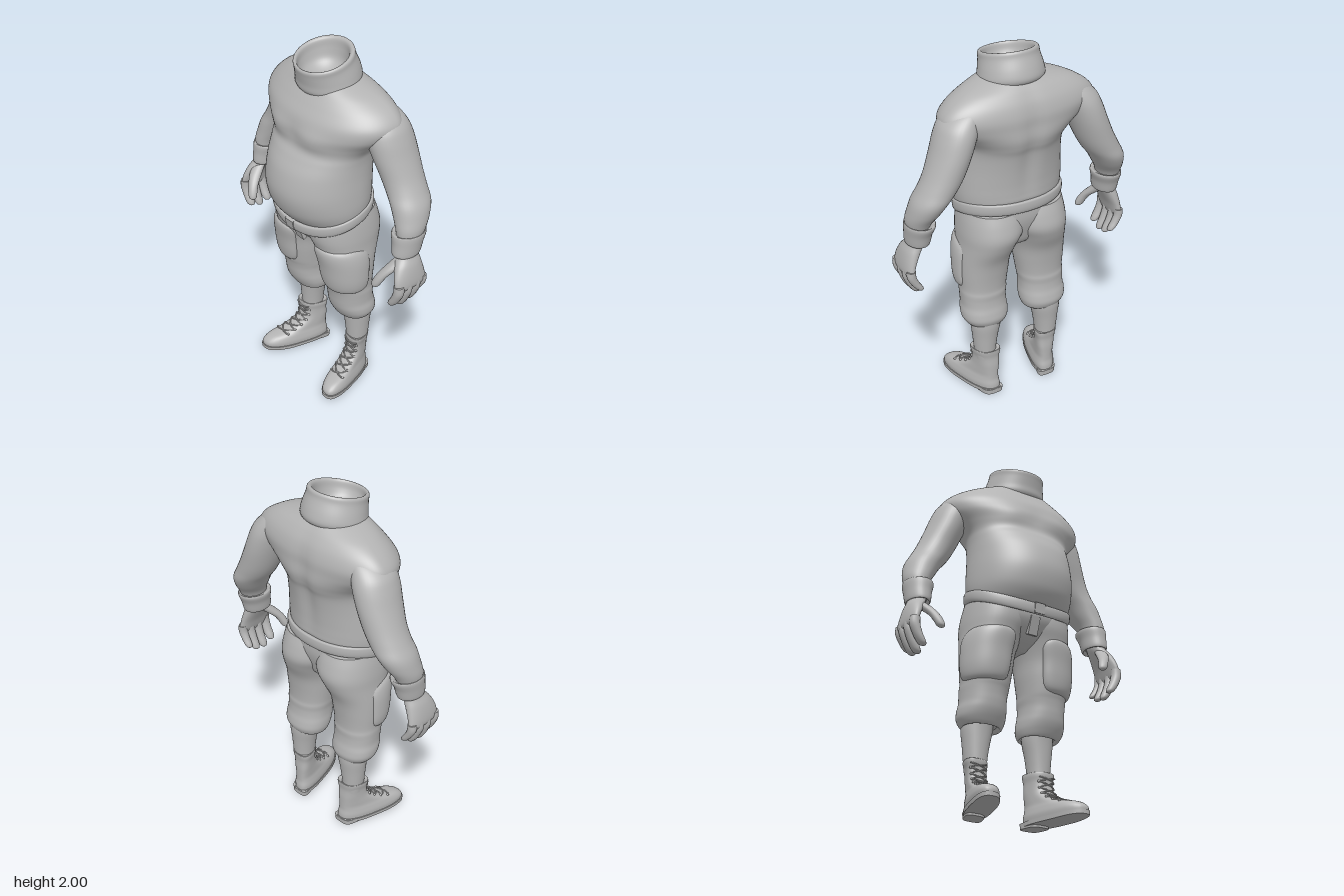
import * as THREE from 'three';

const TAU = Math.PI * 2;

// Smooth surface through stacked sections [x, y, z, halfWidth, front, back, tilt].
// u is the angle (0 = +x, quarter turn = front), v runs from first to last section.
function surface(sections, power = 2, warp) {
  const n = sections.length - 1;
  const row = i => sections[Math.min(n, Math.max(0, i))];
  return (u, v, off = 0) => {
    const i = Math.min(n - 1, Math.floor(v * n)), t = v * n - i;
    const s = [0, 1, 2, 3, 4, 5, 6].map(k => {
      const [a, b, c, d] = [-1, 0, 1, 2].map(j => row(i + j)[k] ?? 0);
      return b + 0.5 * t * (c - a + t * (2 * a - 5 * b + 4 * c - d + t * (3 * (b - c) + d - a)));
    });
    const curve = w => Math.sign(w) * Math.abs(w) ** (2 / power);
    const depth = (Math.sin(u) > 0 ? s[4] : s[5]) + off;
    const dz = curve(Math.sin(u)) * depth;
    const p = new THREE.Vector3(s[0] + curve(Math.cos(u)) * (s[3] + off), s[1] - s[6] * dz, s[2] + dz);
    if (warp) warp(p);
    return p;
  };
}

// Grid over a point function; closed grids join up around u, caps close the ends.
function grid(f, nu, nv, closed = true, caps = true) {
  const pos = [], idx = [], cols = closed ? nu : nu + 1;
  for (let j = 0; j <= nv; j++)
    for (let i = 0; i < cols; i++) pos.push(...f(i / nu, j / nv).toArray());
  for (let j = 0; j < nv; j++)
    for (let i = 0; i < nu; i++) {
      const a = j * cols + i, b = j * cols + (i + 1) % cols, c = a + cols, d = b + cols;
      idx.push(a, c, b, b, c, d);
    }
  if (closed && caps) for (const v of [0, 1]) {
    const start = pos.length / 3, mid = new THREE.Vector3();
    for (let i = 0; i < nu; i++) {
      const p = f(i / nu, v);
      pos.push(...p.toArray());
      mid.addScaledVector(p, 1 / nu);
    }
    pos.push(...mid.toArray());
    for (let i = 0; i < nu; i++) {
      const a = start + i, b = start + (i + 1) % nu;
      idx.push(...(v ? [a, start + nu, b] : [a, b, start + nu]));
    }
  }
  const g = new THREE.BufferGeometry();
  g.setAttribute('position', new THREE.Float32BufferAttribute(pos, 3));
  g.setIndex(idx);
  g.computeVertexNormals();
  return g;
}

const loft = (surf, nu = 40, nv = 40, caps = true) => grid((u, v) => surf(u * TAU, v), nu, nv, true, caps);

function mirrored(geo) {
  const g = geo.clone().scale(-1, 1, 1), ix = g.index;
  for (let i = 0; i < ix.count; i += 3) {
    const a = ix.getX(i);
    ix.setX(i, ix.getX(i + 1));
    ix.setX(i + 1, a);
  }
  return g;
}

export function createModel() {
  const model = new THREE.Group();
  const clay = new THREE.MeshStandardMaterial({ color: 0xb4b4b4 });
  clay.name = 'clay grey';
  const add = (name, geo) => {
    const m = new THREE.Mesh(geo, clay);
    m.name = name;
    model.add(m);
  };
  const pair = (name, geo) => {
    add(name + 'Left', geo);
    add(name + 'Right', mirrored(geo));
  };

  // Sweater body including the shoulders, with chest bulges and a spine groove
  const chest = p => {
    if (p.z > 0) p.z += 0.02 * Math.exp(-(((Math.abs(p.x) - 0.13) / 0.1) ** 2) - ((p.y - 1.6) / 0.06) ** 2);
    else p.z += 0.02 * Math.exp(-((p.x / 0.05) ** 2) - ((p.y - 1.5) / 0.25) ** 2);
  };
  add('sweaterBody', loft(surface([
    [0, 1.13, 0, 0.27, 0.19, 0.205, 0.25], [0, 1.165, 0, 0.285, 0.225, 0.22, 0.22],
    [0, 1.22, 0, 0.292, 0.265, 0.222, 0.14], [0, 1.3, 0, 0.291, 0.285, 0.225, 0.05],
    [0, 1.4, 0, 0.286, 0.265, 0.235], [0, 1.48, 0, 0.286, 0.225, 0.25],
    [0, 1.53, -0.01, 0.296, 0.203, 0.258], [0, 1.58, -0.04, 0.335, 0.225, 0.238],
    [0, 1.64, -0.085, 0.4, 0.268, 0.19], [0, 1.7, -0.115, 0.422, 0.285, 0.157],
    [0, 1.76, -0.12, 0.38, 0.255, 0.135], [0, 1.81, -0.11, 0.3, 0.213, 0.115],
    [0, 1.845, -0.075, 0.2, 0.16, 0.12], [0, 1.86, -0.05, 0.15, 0.13, 0.13],
  ], 2.05, chest), 80, 78, false));

  // Rolled, hollow collar
  add('collar', loft(surface([
    [0, 1.835, -0.045, 0.13, 0.12, 0.12, 0.16], [0, 1.816, -0.042, 0.156, 0.142, 0.15, 0.16],
    [0, 1.838, -0.04, 0.171, 0.157, 0.166, 0.17], [0, 1.88, -0.035, 0.165, 0.157, 0.16, 0.2],
    [0, 1.93, -0.02, 0.153, 0.152, 0.152, 0.24], [0, 1.957, -0.012, 0.15, 0.15, 0.153, 0.24],
    [0, 1.966, -0.01, 0.14, 0.141, 0.144, 0.24], [0, 1.955, -0.008, 0.126, 0.13, 0.132, 0.24],
    [0, 1.915, -0.01, 0.118, 0.123, 0.125, 0.2], [0, 1.87, -0.015, 0.1, 0.105, 0.107, 0.1],
    [0, 1.84, -0.015, 0.06, 0.06, 0.06], [0, 1.83, -0.015, 0.01, 0.01, 0.01],
  ]), 48, 55));

  // Sleeves, tucked up into the shoulders
  pair('sleeve', loft(surface([
    [0.562, 1.13, -0.085, 0.05, 0.065, 0.065], [0.557, 1.2, -0.1, 0.067, 0.083, 0.083],
    [0.535, 1.26, -0.122, 0.082, 0.1, 0.1], [0.508, 1.32, -0.138, 0.093, 0.112, 0.11],
    [0.468, 1.38, -0.145, 0.1, 0.113, 0.108], [0.43, 1.45, -0.145, 0.102, 0.118, 0.112],
    [0.388, 1.55, -0.135, 0.103, 0.128, 0.125], [0.355, 1.64, -0.125, 0.104, 0.13, 0.128],
    [0.33, 1.7, -0.12, 0.098, 0.115, 0.115], [0.29, 1.75, -0.12, 0.075, 0.085, 0.085],
    [0.25, 1.77, -0.12, 0.04, 0.05, 0.05],
  ]), 36, 44));

  // Turned-back sleeve cuffs
  pair('cuff', loft(surface([
    [0.56, 1.08, -0.076, 0.045, 0.06, 0.06], [0.558, 1.063, -0.075, 0.056, 0.075, 0.075],
    [0.557, 1.075, -0.076, 0.063, 0.083, 0.083], [0.555, 1.125, -0.085, 0.069, 0.088, 0.088],
    [0.55, 1.168, -0.095, 0.077, 0.097, 0.097], [0.55, 1.185, -0.097, 0.073, 0.093, 0.093],
    [0.553, 1.175, -0.097, 0.056, 0.075, 0.075],
  ]), 36, 30));

  // Hands: palm, four curled fingers and a thumb
  pair('palm', loft(surface([
    [0.618, 0.885, -0.052, 0.014, 0.08, 0.08], [0.622, 0.91, -0.052, 0.027, 0.1, 0.098],
    [0.612, 0.96, -0.05, 0.034, 0.097, 0.096], [0.59, 1.02, -0.058, 0.042, 0.08, 0.08],
    [0.567, 1.07, -0.072, 0.043, 0.058, 0.058], [0.56, 1.12, -0.078, 0.043, 0.056, 0.056],
  ], 2.2), 28, 24));
  [[0.028, 0.785], [-0.028, 0.762], [-0.083, 0.772], [-0.131, 0.805]].forEach(([z, tip], i) => {
    const h = 0.93 - tip, r = i === 3 ? 0.023 : 0.027;
    const s = [[0.572, 0, 0.25], [0.576, 0.06, 0.75], [0.588, 0.2, 0.95], [0.606, 0.42, 1], [0.622, 0.72, 1.05], [0.622, 1, 1]]
      .map(([x, k, q]) => [x, tip + h * k, z, r * q, r * q, r * q]);
    pair('finger' + (i + 1), loft(surface(s), 14, 18));
  });
  pair('thumb', loft(surface([
    [0.498, 0.885, 0.076, 0.009, 0.008, 0.008], [0.5, 0.895, 0.074, 0.022, 0.02, 0.02],
    [0.508, 0.92, 0.067, 0.027, 0.024, 0.024], [0.525, 0.96, 0.048, 0.029, 0.026, 0.028],
    [0.55, 1.005, 0.008, 0.033, 0.033, 0.036], [0.568, 1.05, -0.04, 0.03, 0.03, 0.03],
  ]), 16, 20));

  // Trouser seat, waistband dipping under the belly, buckle and fly
  add('trouserSeat', loft(surface([
    [0, 0.885, -0.03, 0.06, 0.07, 0.07], [0, 0.93, -0.02, 0.15, 0.125, 0.14],
    [0, 1.0, 0, 0.25, 0.16, 0.19], [0, 1.07, 0, 0.28, 0.18, 0.215, 0.12],
    [0, 1.15, 0, 0.278, 0.18, 0.213, 0.25],
  ], 2.1), 48, 24));
  add('waistband', loft(surface([
    [0, 1.125, 0, 0.265, 0.185, 0.2], [0, 1.113, 0, 0.285, 0.203, 0.222],
    [0, 1.13, 0, 0.295, 0.213, 0.232], [0, 1.16, 0, 0.297, 0.218, 0.234],
    [0, 1.178, 0, 0.291, 0.214, 0.228], [0, 1.172, 0, 0.265, 0.19, 0.2],
  ], 2.15, p => { p.y -= 0.28 * p.z + 0.6 * p.z * p.z; }), 64, 24));
  add('buckle', new THREE.BoxGeometry(0.06, 0.055, 0.02).rotateX(0.2).translate(0, 1.065, 0.21));
  add('fly', new THREE.BoxGeometry(0.055, 0.1, 0.025).rotateX(0.35).translate(0, 0.99, 0.153));

  // Trouser legs with gathered hems; the upper sections meet in the middle
  const legSections = [
    [0.172, 0.475, -0.075, 0.085, 0.07, 0.07], [0.172, 0.455, -0.072, 0.105, 0.085, 0.09],
    [0.177, 0.49, -0.07, 0.125, 0.108, 0.11], [0.178, 0.53, -0.065, 0.128, 0.122, 0.111],
    [0.177, 0.57, -0.06, 0.123, 0.127, 0.106], [0.177, 0.61, -0.056, 0.123, 0.129, 0.106],
    [0.175, 0.645, -0.052, 0.126, 0.132, 0.111], [0.173, 0.68, -0.045, 0.127, 0.135, 0.115],
    [0.17, 0.76, -0.04, 0.135, 0.145, 0.128], [0.164, 0.85, -0.038, 0.14, 0.157, 0.147],
    [0.147, 0.94, -0.035, 0.15, 0.178, 0.188], [0.13, 1.01, -0.035, 0.165, 0.2, 0.207],
    [0.122, 1.08, -0.03, 0.166, 0.198, 0.2], [0.118, 1.14, -0.02, 0.16, 0.17, 0.19],
  ];
  const leg = surface(legSections, 2.15), last = legSections.length - 1;
  pair('trouserLeg', loft(leg, 44, 65));

  // Rounded, padded thigh pockets following the leg
  const puff = (a, b) => Math.sqrt(Math.max(0, 1 - (2 * a - 1) ** 4 - (2 * b - 1) ** 4));
  pair('pocket', grid((a, b) => leg(-0.2 + a * 2.3, (6.8 + b * 3.4) / last, -0.008 + 0.032 * puff(a, b)), 36, 36, false));

  // Shins
  pair('shin', loft(surface([
    [0.188, 0.22, -0.095, 0.055, 0.058, 0.058], [0.19, 0.29, -0.095, 0.061, 0.062, 0.062],
    [0.188, 0.37, -0.095, 0.071, 0.068, 0.068], [0.184, 0.45, -0.095, 0.084, 0.075, 0.076],
    [0.18, 0.52, -0.09, 0.085, 0.08, 0.076],
  ]), 32, 16));

  // Boots, turned outward with broad, slightly lifted toes
  const footWarp = p => {
    p.x += 0.27 * (p.z + 0.1);
    if (p.z > 0.08) p.y += 0.06 * (p.z - 0.08);
  };
  const boot = surface([
    [0.185, 0.025, 0.015, 0.067, 0.187, 0.185], [0.185, 0.055, 0.015, 0.07, 0.185, 0.184],
    [0.185, 0.085, 0.005, 0.065, 0.158, 0.168], [0.185, 0.11, -0.015, 0.059, 0.105, 0.147],
    [0.185, 0.14, -0.05, 0.057, 0.072, 0.112], [0.185, 0.18, -0.085, 0.056, 0.064, 0.077],
    [0.186, 0.23, -0.095, 0.058, 0.064, 0.064], [0.187, 0.265, -0.097, 0.065, 0.071, 0.066],
    [0.188, 0.282, -0.097, 0.064, 0.069, 0.066], [0.188, 0.275, -0.097, 0.052, 0.054, 0.054],
  ], 2.6, footWarp);
  pair('boot', loft(boot, 40, 45));
  pair('sole', loft(surface([
    [0.185, 0.01, 0.015, 0.07, 0.192, 0.19], [0.185, 0.032, 0.015, 0.072, 0.193, 0.19],
  ], 2.7, footWarp), 40, 1));
  pair('heel', loft(surface([
    [0.185, 0, -0.12, 0.054, 0.055, 0.054], [0.185, 0.03, -0.12, 0.057, 0.057, 0.056],
  ], 3.5, footWarp), 32, 1));

  // Crossed laces and eyelets over the boot front
  const front = Math.PI / 2;
  for (let k = 0; k < 6; k++) {
    const v0 = 0.3 + k * 0.075, v1 = v0 + 0.075;
    for (const s of [-1, 1]) {
      const path = [-1, -0.5, 0, 0.5, 1].map(t => boot(front + s * t * 0.7, v0 + (v1 - v0) * (t + 1) / 2, 0.004));
      pair('lace', new THREE.TubeGeometry(new THREE.CatmullRomCurve3(path), 10, 0.004, 6));
      const e = boot(front + s * 0.73, v0, 0.002);
      pair('eyelet', new THREE.SphereGeometry(0.007, 8, 6).translate(e.x, e.y, e.z));
    }
  }
  return model;
}
